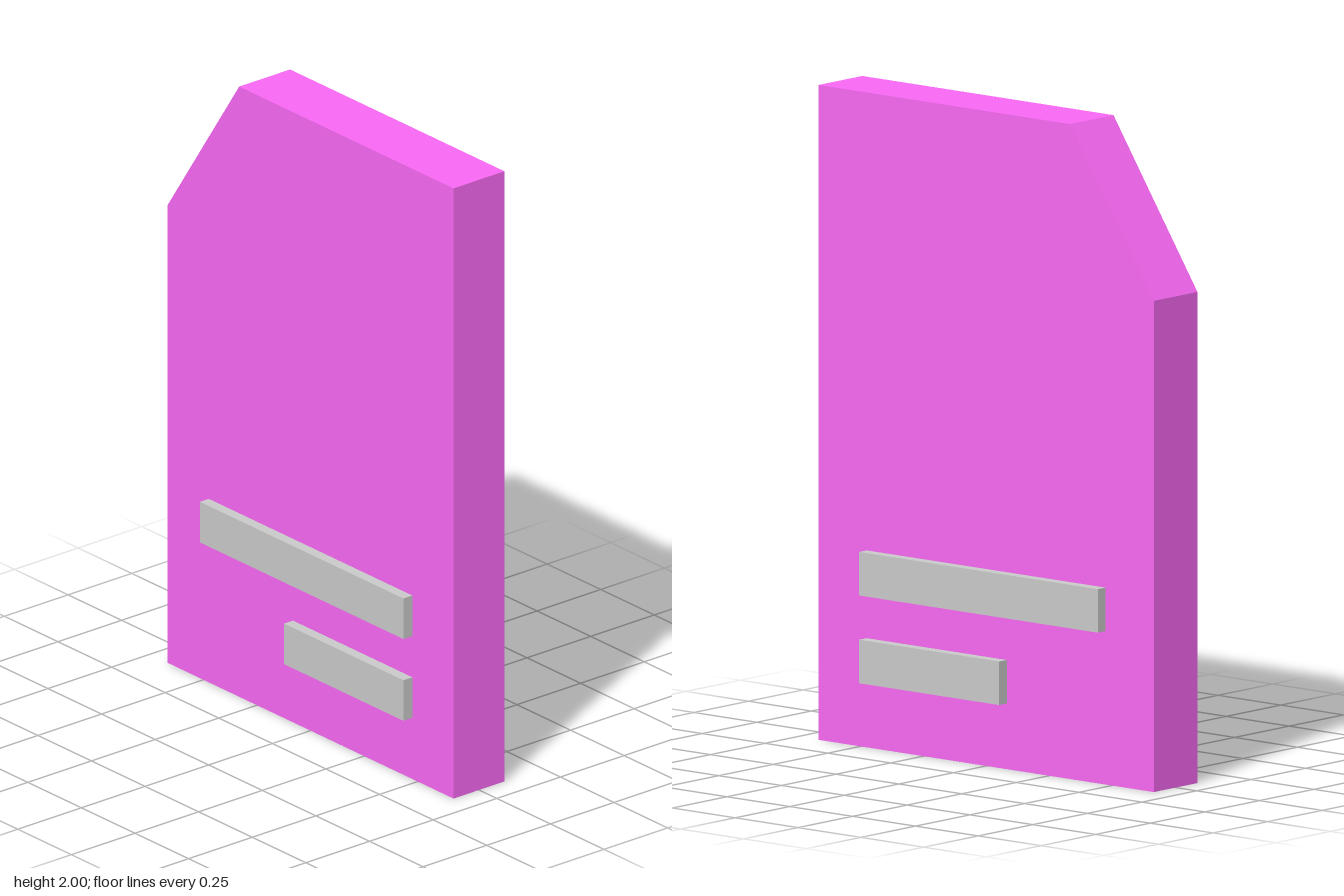
import * as THREE from 'three';

export function createModel() {
  const group = new THREE.Group();
  const panelMaterial = new THREE.MeshStandardMaterial({ color: 0xfb69f7 });
  const barMaterial = new THREE.MeshStandardMaterial({ color: 0xcccccc });

  // Upright slab with its upper back corner cut off; profile is (z, y)
  const thickness = 0.2;
  const profile = new THREE.Shape([
    [0.667, 0], [0.667, 2], [-0.333, 2], [-0.667, 1.5], [-0.667, 0],
  ].map(([z, y]) => new THREE.Vector2(z, y)));
  const slab = new THREE.ExtrudeGeometry(profile, { depth: thickness, bevelEnabled: false });
  slab.translate(0, 0, -thickness / 2).rotateY(-Math.PI / 2);
  const panel = new THREE.Mesh(slab, panelMaterial);
  panel.name = 'panel';
  group.add(panel);

  // Raised bars, aligned at the front and mirrored on both faces
  const barDepth = 0.035, barHeight = 0.133, barFront = 0.475;
  const bars = [
    { name: 'LongBar', y: 0.535, length: 0.95 },
    { name: 'ShortBar', y: 0.267, length: 0.557 },
  ];
  for (const [side, sign] of [['left', 1], ['right', -1]]) {
    for (const { name, y, length } of bars) {
      const bar = new THREE.Mesh(new THREE.BoxGeometry(barDepth, barHeight, length), barMaterial);
      bar.position.set(sign * (thickness + barDepth) / 2, y, barFront - length / 2);
      if (sign > 0) bar.position.x = (thickness + barDepth) / 2;
      bar.name = side + name;
      group.add(bar);
    }
  }
  return group;
}
